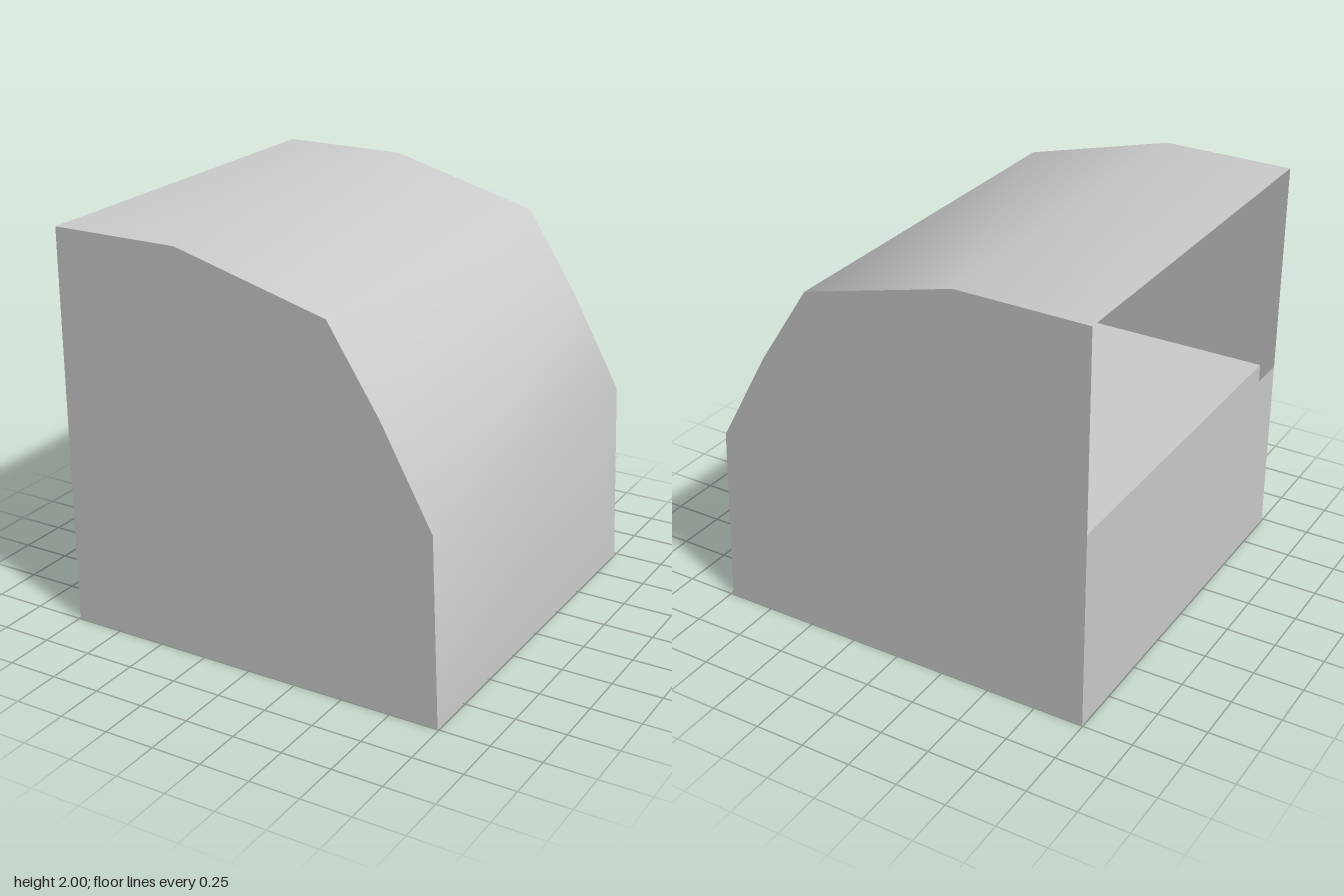
import * as THREE from 'three';

const material = new THREE.MeshStandardMaterial({ color: 0xcccccc, side: THREE.DoubleSide });

// Side profile (x, y) of the hood, from the open side's top edge down to the base
const profile = [[-0.995, 1.995], [-0.34, 2], [0.43, 1.8], [0.69, 1.4], [0.95, 0.93], [0.99, 0]];
const left = -0.995, right = 0.99, half = 0.995;
const sillHeight = 0.92, floorHeight = 0.91, floorStart = -0.92;

function add(group, name, geometry, x = 0, y = 0, z = 0) {
  const mesh = new THREE.Mesh(geometry, material);
  mesh.name = name;
  mesh.position.set(x, y, z);
  group.add(mesh);
  return mesh;
}

// Smooth sheet sweeping the profile along z
function hoodGeometry() {
  const positions = [], index = [];
  profile.forEach(([x, y], i) => {
    positions.push(x, y, half, x, y, -half);
    if (i > 0) {
      const a = 2 * (i - 1);
      index.push(a, a + 2, a + 1, a + 1, a + 2, a + 3);
    }
  });
  const geometry = new THREE.BufferGeometry();
  geometry.setAttribute('position', new THREE.Float32BufferAttribute(positions, 3));
  geometry.setIndex(index);
  geometry.computeVertexNormals();
  return geometry;
}

export function createModel() {
  const model = new THREE.Group();
  model.name = 'hoodedBin';

  add(model, 'hood', hoodGeometry());

  // End walls
  const outline = new THREE.Shape([[left, 0], ...profile].map(([x, y]) => new THREE.Vector2(x, y)));
  add(model, 'frontWall', new THREE.ShapeGeometry(outline), 0, 0, half);
  const backGeometry = new THREE.ShapeGeometry(outline).scale(-1, 1, 1).rotateY(Math.PI);
  // Reverse the winding so the mirrored outline faces outward
  const order = backGeometry.index.array;
  for (let i = 0; i < order.length; i += 3) [order[i], order[i + 1]] = [order[i + 1], order[i]];
  backGeometry.computeVertexNormals();
  add(model, 'backWall', backGeometry, 0, 0, -half);

  // Low wall beneath the opening
  const sill = new THREE.PlaneGeometry(2 * half, sillHeight).rotateY(-Math.PI / 2);
  add(model, 'lowerSideWall', sill, left, sillHeight / 2, 0);

  // Underside
  const base = new THREE.PlaneGeometry(right - left, 2 * half).rotateX(Math.PI / 2);
  add(model, 'base', base, (left + right) / 2, 0, 0);

  // Raised inner floor, set back from the opening
  const end = 0.94, depth = 2 * half - 0.004, bottom = 0.01;
  add(model, 'innerFloor', new THREE.BoxGeometry(end - floorStart, floorHeight - bottom, depth),
    (floorStart + end) / 2, (floorHeight + bottom) / 2, 0);

  return model;
}
